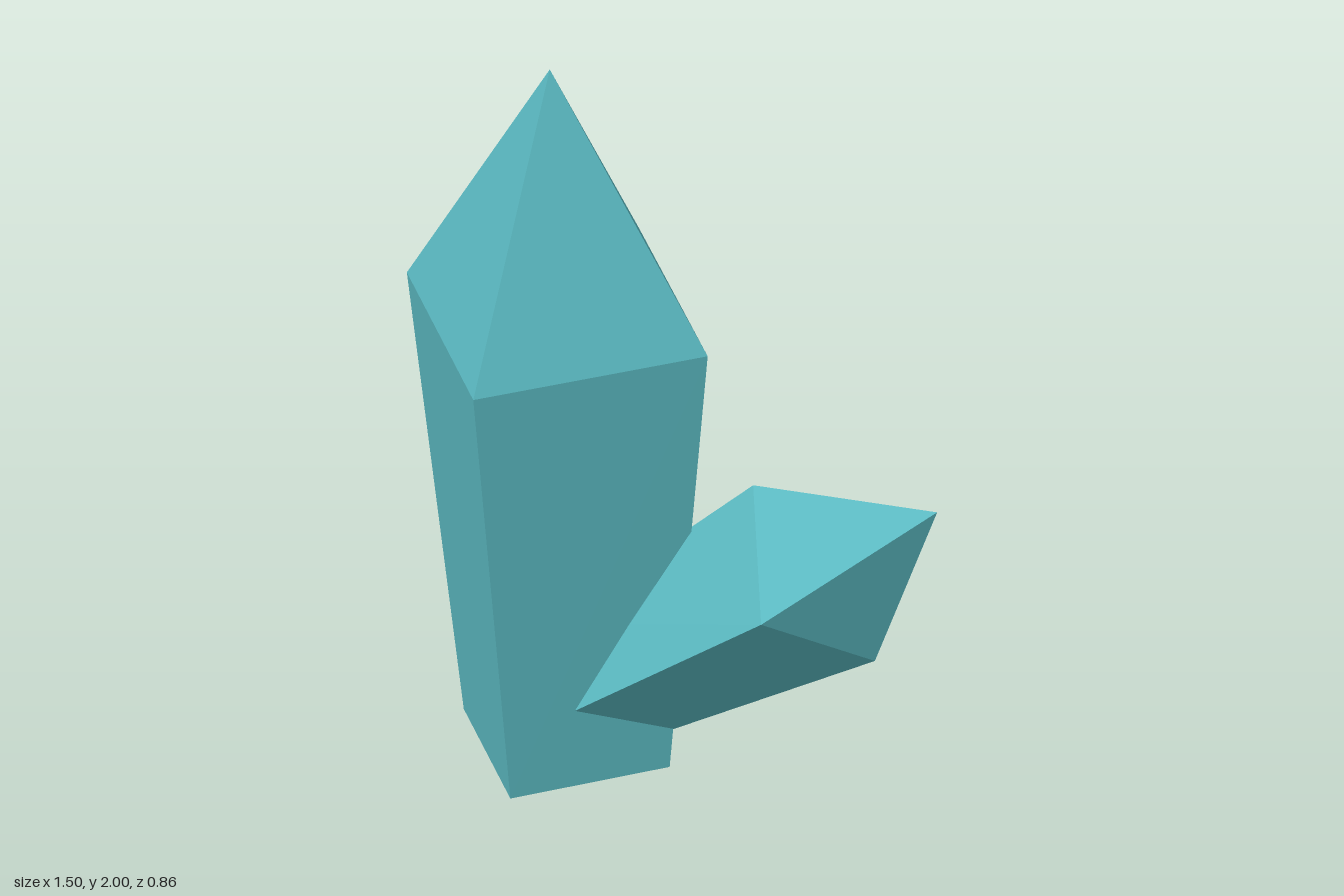
import * as THREE from 'three';

// Four-sided crystal: base ring, shoulder ring and a pointed tip.
// Rings run counter-clockwise as seen from the tip.
function crystal(name, base, shoulder, tip, material) {
  const positions = [];
  const face = (...corners) => {
    for (let i = 1; i < corners.length - 1; i++) {
      positions.push(...corners[0], ...corners[i], ...corners[i + 1]);
    }
  };
  const n = base.length;
  for (let i = 0; i < n; i++) {
    const j = (i + 1) % n;
    face(base[i], base[j], shoulder[j], shoulder[i]); // shaft side
    face(shoulder[i], shoulder[j], tip); // point facet
  }
  face(...[...base].reverse()); // underside

  // Unshared corners keep every facet flat
  const geometry = new THREE.BufferGeometry();
  geometry.setAttribute('position', new THREE.Float32BufferAttribute(positions, 3));
  geometry.computeVertexNormals();
  const mesh = new THREE.Mesh(geometry, material);
  mesh.name = name;
  return mesh;
}

export function createModel() {
  const group = new THREE.Group();
  group.name = 'crystalCluster';
  const teal = new THREE.MeshStandardMaterial({ color: 0x5ab8c0 });
  teal.name = 'teal';

  // Tall upright crystal
  group.add(crystal(
    'tallCrystal',
    [[-0.595, 0.005, -0.02], [-0.305, 0, 0.28], [-0.01, 0.017, -0.01], [-0.3, 0.02, -0.31]],
    [[-0.75, 1.26, -0.01], [-0.33, 1.262, 0.43], [0.105, 1.28, 0.005], [-0.318, 1.28, -0.43]],
    [-0.337, 2, 0.01],
    teal,
  ));

  // Small crystal leaning out from its side
  group.add(crystal(
    'leaningCrystal',
    [[-0.355, 0.335, -0.01], [-0.178, 0.24, 0.178], [0, 0.132, -0.01], [-0.178, 0.235, -0.203]],
    [[0.225, 0.925, -0.01], [0.393, 0.72, 0.265], [0.573, 0.515, 0], [0.405, 0.72, -0.272]],
    [0.75, 1.012, 0.003],
    teal,
  ));

  return group;
}
